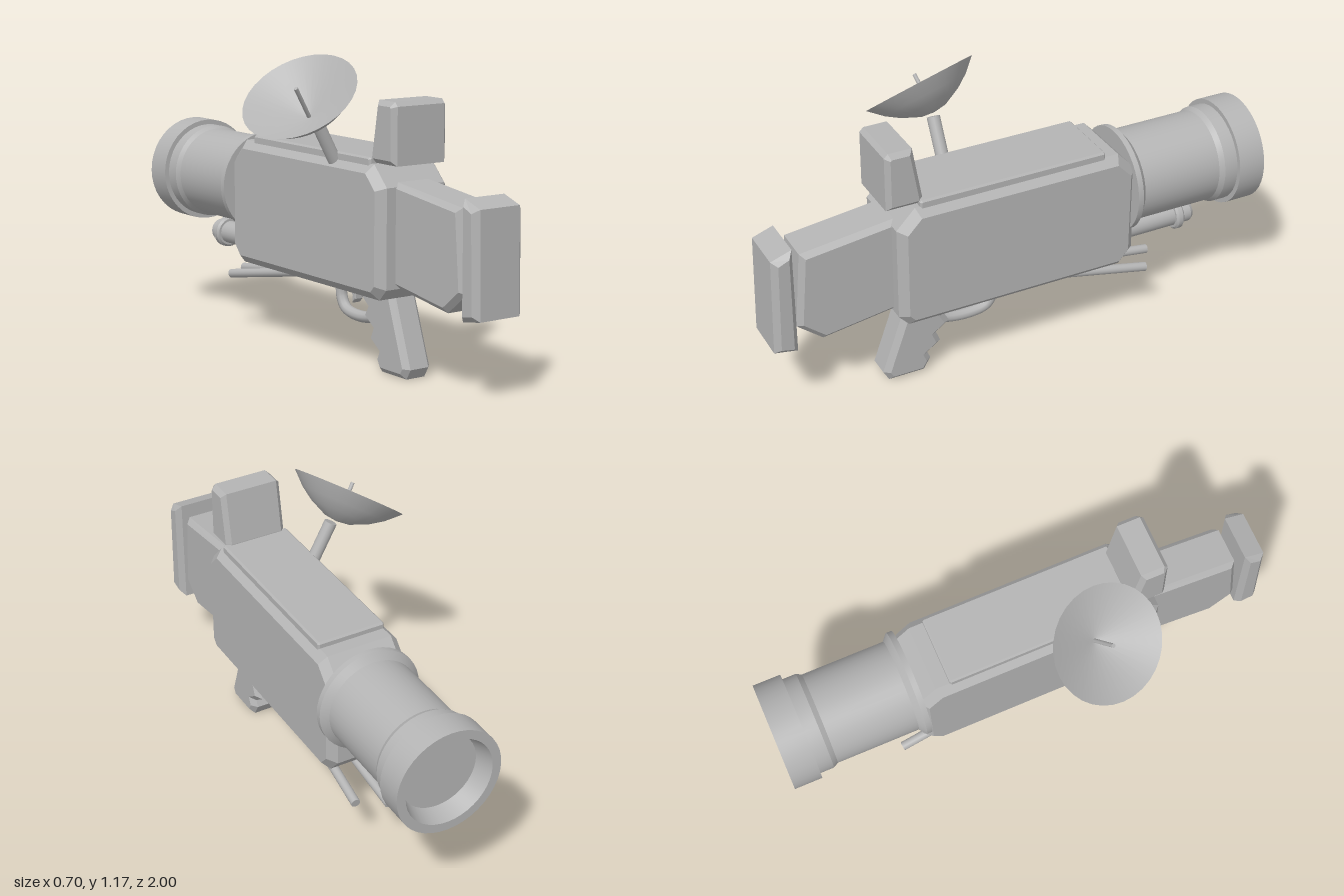
import * as THREE from 'three';
import { toCreasedNormals } from 'three/addons/utils/BufferGeometryUtils.js';

const CX = 0.1365; // centre plane of the launcher

export function createModel() {
  const root = new THREE.Group();
  root.name = 'launcher';
  const grey = new THREE.MeshStandardMaterial({ color: 0xb4b4b4 });
  grey.name = 'metal grey';

  const add = (name, geometry) => {
    const mesh = new THREE.Mesh(geometry, grey);
    mesh.name = name;
    root.add(mesh);
    return mesh;
  };

  // Side outline given as [z, y], extruded across x with chamfered edges
  const slab = (name, outline, width, bevel) => {
    const shape = new THREE.Shape(outline.map(([z, y]) => new THREE.Vector2(-z, y)));
    const geo = new THREE.ExtrudeGeometry(shape, {
      depth: width - 2 * bevel, bevelEnabled: bevel > 0, bevelSegments: 1,
      bevelSize: bevel, bevelThickness: bevel, bevelOffset: -bevel, curveSegments: 8,
    });
    geo.translate(0, 0, bevel - width / 2).rotateY(Math.PI / 2).translate(CX, 0, 0);
    return add(name, geo);
  };

  // Turned part: profile of [radius, height]
  const turned = (profile, segments = 36) => toCreasedNormals(
    new THREE.LatheGeometry(profile.map(([r, h]) => new THREE.Vector2(r, h)), segments), 0.5);

  // Round rod between two points
  const rod = (name, from, to, radius) => {
    const a = new THREE.Vector3(...from), b = new THREE.Vector3(...to);
    const dir = b.clone().sub(a);
    const mesh = add(name, new THREE.CylinderGeometry(radius, radius, dir.length(), 16));
    mesh.position.copy(a).add(b).multiplyScalar(0.5);
    mesh.quaternion.setFromUnitVectors(new THREE.Vector3(0, 1, 0), dir.normalize());
    return mesh;
  };

  // Main body, top plate and sight box
  slab('body', [[0.525, 0.345], [0.525, 0.72], [0.45, 0.798], [-0.385, 0.798],
    [-0.46, 0.72], [-0.46, 0.365], [-0.405, 0.302], [0.485, 0.302]], 0.326, 0.032);
  slab('topPlate', [[0.43, 0.78], [0.43, 0.815], [0.423, 0.822], [-0.323, 0.822],
    [-0.33, 0.815], [-0.33, 0.78]], 0.275, 0.007);
  slab('sightBox', [[0.553, 0.8], [0.553, 1.015], [0.538, 1.031], [0.445, 1.031],
    [0.41, 0.825], [0.41, 0.8]], 0.25, 0.018);

  // Shoulder stock and butt
  slab('stock', [[0.902, 0.388], [0.876, 0.692], [0.5, 0.737], [0.5, 0.35], [0.802, 0.306]],
    0.18, 0.02);
  slab('buttPad', [[1, 0.312], [0.99, 0.703], [0.908, 0.732], [0.908, 0.296]], 0.222, 0.022);

  // Pistol grip with finger notches
  slab('grip', [[0.46, 0.32], [0.558, 0.043], [0.535, 0.003], [0.389, 0.003], [0.362, 0.05],
    [0.374, 0.078], [0.319, 0.118], [0.336, 0.16], [0.281, 0.2], [0.303, 0.238],
    [0.274, 0.262], [0.274, 0.32]], 0.125, 0.021);

  // Trigger guard and trigger
  const guardPath = new THREE.CatmullRomCurve3([[0.33, 0.225], [0.29, 0.19], [0.19, 0.173],
    [0.105, 0.188], [0.076, 0.23], [0.074, 0.31]].map(([z, y]) => new THREE.Vector3(CX, y, z)));
  add('triggerGuard', new THREE.TubeGeometry(guardPath, 28, 0.022, 10));
  slab('trigger', [[0.17, 0.32], [0.188, 0.27], [0.187, 0.24], [0.168, 0.222],
    [0.169, 0.25], [0.152, 0.28], [0.13, 0.32]], 0.04, 0.004);

  // Barrel with flared collar, muzzle cap and recessed end
  const barrel = turned([[0, 0.44], [0.207, 0.44], [0.207, 0.462], [0.18, 0.485], [0.18, 0.815],
    [0.191, 0.835], [0.191, 0.89], [0.21, 0.89], [0.21, 1], [0.175, 1], [0.152, 0.93], [0, 0.93]], 40);
  barrel.rotateX(-Math.PI / 2).translate(CX, 0.608, 0);
  add('barrel', barrel);

  // Small tube under the barrel
  const tube = turned([[0, 0.44], [0.046, 0.44], [0.046, 0.715], [0.055, 0.715], [0.063, 0.723],
    [0.063, 0.742], [0.055, 0.75], [0.045, 0.75], [0.045, 0.787], [0.036, 0.8], [0, 0.8]], 24);
  tube.rotateX(-Math.PI / 2).translate(CX, 0.363, 0);
  add('underBarrelTube', tube);

  // Folded tripod legs
  for (const side of [-1, 1]) {
    rod('sideLeg', [CX + side * 0.07, 0.31, -0.06], [CX + side * 0.104, 0.227, -0.545], 0.018);
  }
  rod('middleLeg', [CX, 0.307, -0.06], [CX, 0.23, -0.61], 0.018);

  // Dish on its angled stem
  rod('dishStem', [0.01, 0.77, 0.21], [-0.08, 0.936, 0.21], 0.025);
  const dish = new THREE.Group();
  dish.name = 'dish';
  const bowl = new THREE.Mesh(turned([[0, -0.122], [0.05, -0.116], [0.12, -0.084], [0.17, -0.05],
    [0.223, 0], [0, -0.108]], 32), grey);
  bowl.name = 'dishBowl';
  const feed = new THREE.Mesh(new THREE.CylinderGeometry(0.008, 0.008, 0.15, 10), grey);
  feed.name = 'dishAntenna';
  feed.position.y = -0.037;
  dish.add(bowl, feed);
  dish.position.set(-0.168, 1.037, 0.225);
  dish.quaternion.setFromUnitVectors(new THREE.Vector3(0, 1, 0),
    new THREE.Vector3(-0.575, 0.78, 0.23).normalize());
  root.add(dish);

  return root;
}
